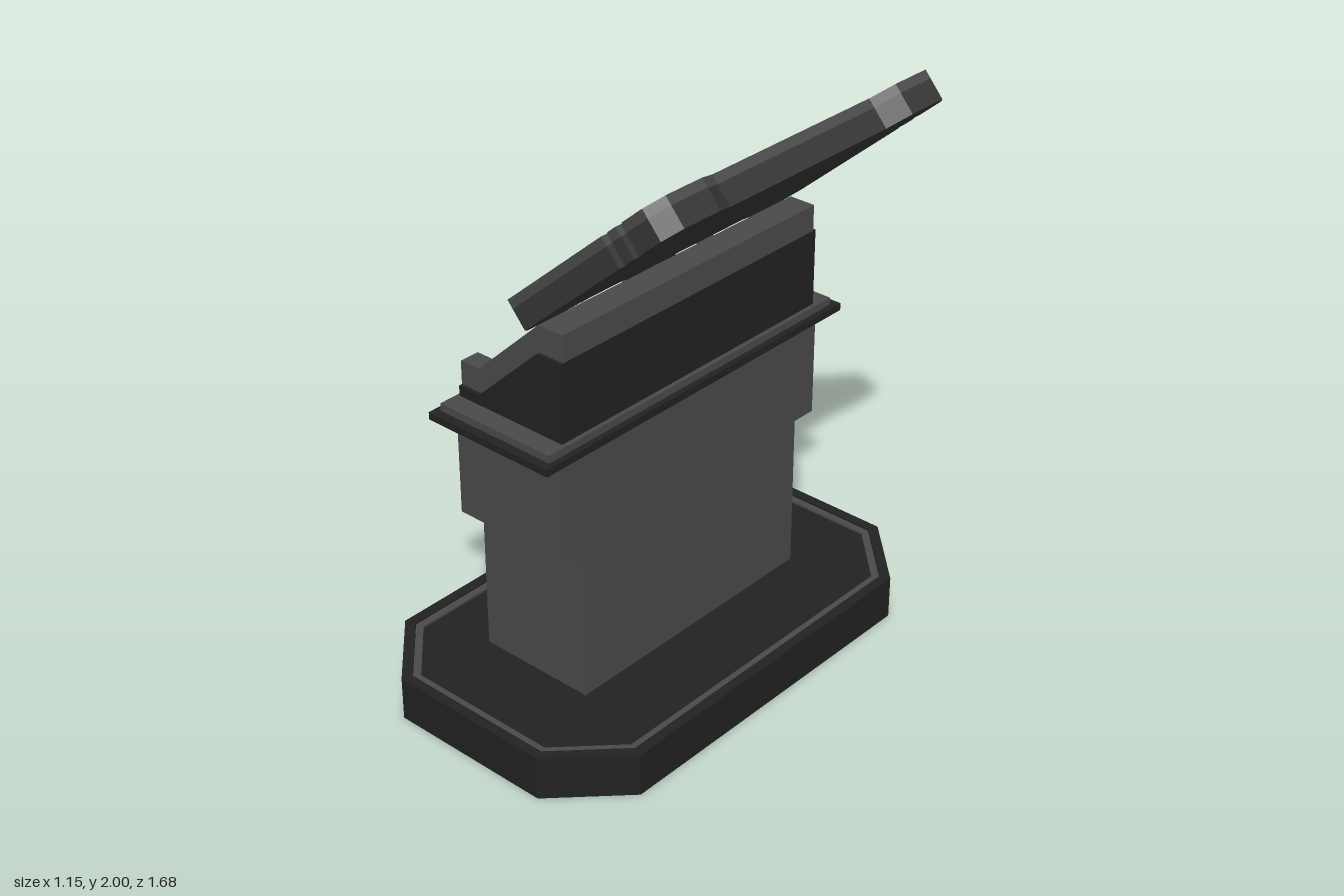
import * as THREE from 'three';

const mat = (color) => new THREE.MeshStandardMaterial({ color, flatShading: true });
const GREY = mat(0x4a4a4a), MID = mat(0x363636), DARK = mat(0x222222), BLACK = mat(0x161616);
const LIGHT = mat(0x8c8c8c), RED = mat(0x5c2024), ORANGE = mat(0xc87f3a), GLASS = mat(0x95bcbc);

function add(parent, name, geo, material, x = 0, y = 0, z = 0) {
  const m = new THREE.Mesh(geo, material);
  m.name = name;
  m.position.set(x, y, z);
  parent.add(m);
  return m;
}

// Box given by its limits on each axis
function box(parent, name, material, [x0, x1], [y0, y1], [z0, z1]) {
  return add(parent, name, new THREE.BoxGeometry(x1 - x0, y1 - y0, z1 - z0), material,
    (x0 + x1) / 2, (y0 + y1) / 2, (z0 + z1) / 2);
}

function extrude(points, depth, hole) {
  const shape = new THREE.Shape(points.map(([a, b]) => new THREE.Vector2(a, b)));
  if (hole) shape.holes.push(new THREE.Path(hole.map(([a, b]) => new THREE.Vector2(a, b))));
  return new THREE.ExtrudeGeometry(shape, { depth, bevelEnabled: false, curveSegments: 24 });
}

// Flat outline extruded upwards
const slab = (points, depth, hole) => extrude(points, depth, hole).rotateX(-Math.PI / 2);

// Half outline (a, b) completed by its mirror image in a
const mirrorA = (half) => [...half, ...half.map(([a, b]) => [-a, b]).reverse()];

// Octagonal foot outline, inset by d
function octagon(d) {
  const x0 = -0.58 + d, x1 = 0.45 - d, z = 0.84 - d, c = 0.22 - 0.586 * d;
  return [[x0 + c, -z], [x1 - c, -z], [x1, -z + c], [x1, z - c],
    [x1 - c, z], [x0 + c, z], [x0, z - c], [x0, -z + c]];
}

function buildBase(root) {
  const g = new THREE.Group();
  g.name = 'base';
  add(g, 'baseSlab', slab(octagon(0), 0.138), DARK);
  add(g, 'baseRim', slab(octagon(0), 0.014, octagon(0.035)), DARK, 0, 0.138);
  add(g, 'baseInlay', slab(octagon(0.035), 0.008, octagon(0.06)), GREY, 0, 0.138);
  root.add(g);
}

function buildColumn(root) {
  const g = new THREE.Group();
  g.name = 'column';
  const outline = mirrorA([[0.505, 0.1], [0.505, 0.68], [0.595, 0.68], [0.595, 1.04]]);
  const opening = mirrorA([[0.4, 0.138], [0.4, 0.74], [0.18, 1.0]]);
  // Solid rear and a front frame with the recessed opening
  add(g, 'columnRear', extrude(outline, 0.265).rotateY(-Math.PI / 2), GREY, 0.115);
  add(g, 'columnFront', extrude(outline, 0.16, opening).rotateY(-Math.PI / 2), GREY, -0.15);
  add(g, 'recessBack', extrude(opening, 0.005).rotateY(-Math.PI / 2), mat(0x606060), -0.15);
  for (const s of [-1, 1]) {
    const side = (a, b) => (s > 0 ? [a, b] : [-b, -a]);
    box(g, 'recessSide', LIGHT, [-0.3, -0.15], [0.14, 0.73], side(0.392, 0.4));
    box(g, 'recessRib', GREY, [-0.23, -0.15], [0.14, 1.0], side(0.04, 0.14));
    box(g, 'ribFoot', GREY, [-0.25, -0.15], [0.14, 0.22], side(0.03, 0.15));
  }
  box(g, 'recessSill', GREY, [-0.22, -0.15], [0.14, 0.19], [-0.39, 0.39]);
  root.add(g);
}

function buildConsole(root) {
  const g = new THREE.Group();
  g.name = 'console';
  box(g, 'shelfLower', DARK, [-0.34, 0.15], [1.035, 1.06], [-0.68, 0.68]);
  box(g, 'shelfUpper', GREY, [-0.32, 0.13], [1.06, 1.085], [-0.65, 0.65]);

  // Sloped housing
  const body = [[-0.31, 1.08], [0.115, 1.08], [0.115, 1.35], [0.02, 1.35], [-0.225, 1.12], [-0.31, 1.12]];
  add(g, 'housing', extrude(body, 1.16), DARK, 0, 0, -0.58);

  // Raised side rails joined by the top beam
  const rail = [[-0.31, 1.115], [-0.225, 1.115], [0.025, 1.345], [0.115, 1.345],
    [0.115, 1.44], [0.02, 1.44], [-0.235, 1.2], [-0.31, 1.2]];
  for (const z of [-0.568, 0.498]) add(g, 'sideRail', extrude(rail, 0.07), GREY, 0, 0, z);
  const beam = [[0.02, 1.345], [0.115, 1.345], [0.115, 1.44], [0.02, 1.44]];
  add(g, 'topBeam', extrude(beam, 1.0), GREY, 0, 0, -0.5);
  box(g, 'frontLip', MID, [-0.31, -0.245], [1.11, 1.13], [-0.5, 0.5]);

  // Control surface, local x runs up the slope
  const deck = new THREE.Group();
  deck.name = 'controls';
  deck.position.set(-0.225, 1.12, 0);
  deck.rotation.z = Math.atan2(0.23, 0.245);
  box(deck, 'blankPanel', BLACK, [-0.01, 0.33], [-0.01, 0.012], [-0.49, 0.08]);
  box(deck, 'buttonPanel', LIGHT, [-0.01, 0.33], [-0.01, 0.016], [0.1, 0.47]);
  for (let i = 0; i < 3; i++) {
    for (let j = 0; j < 3; j++) {
      const s = 0.003 + i * 0.097, z = 0.108 + j * 0.058;
      box(deck, 'key', RED, [s, s + 0.09], [0.01, 0.028], [z, z + 0.05]);
    }
  }
  add(deck, 'knobRing', new THREE.CylinderGeometry(0.058, 0.058, 0.02, 24), BLACK, 0.085, 0.02, 0.38);
  add(deck, 'knob', new THREE.CylinderGeometry(0.036, 0.042, 0.04, 24), ORANGE, 0.085, 0.03, 0.38);
  box(deck, 'squareButtonFrame', BLACK, [0.195, 0.295], [0.01, 0.026], [0.33, 0.43]);
  box(deck, 'squareButton', ORANGE, [0.207, 0.283], [0.01, 0.038], [0.342, 0.418]);
  g.add(deck);

  // Round socket with a notched ring on its end
  const socket = new THREE.Group();
  socket.name = 'socket';
  socket.position.set(-0.31, 1.2, -0.235);
  add(socket, 'socketBarrel', new THREE.CylinderGeometry(0.08, 0.08, 0.28, 32).rotateZ(Math.PI / 2), BLACK, 0.14);
  const circle = (r) => Array.from({ length: 32 }, (_, i) =>
    [r * Math.cos(i * Math.PI / 16), r * Math.sin(i * Math.PI / 16)]);
  add(socket, 'socketRing', extrude(circle(0.07), 0.033, circle(0.045)).rotateY(-Math.PI / 2), ORANGE);
  for (let i = 0; i < 8; i++) {
    const a = (i + 0.5) * Math.PI / 4;
    const slot = add(socket, 'ringSlot', new THREE.BoxGeometry(0.006, 0.02, 0.012), BLACK,
      -0.032, 0.058 * Math.sin(a), 0.058 * Math.cos(a));
    slot.rotation.x = -a;
  }
  g.add(socket);
  root.add(g);
}

// Screen outline: u along the slope, v across; d insets it
function screenOutline(d, slots) {
  const u = 0.392 - d, n = 0.348 - d, v = 0.62 - d, w = v - 0.05 + d * 0.4, c = u - 0.05 + d * 0.4;
  const cuts = slots ? [0.145, 0.215].flatMap((a) =>
    [[a, v], [a, v - 0.022], [a + 0.03, v - 0.022], [a + 0.03, v]]) : [];
  const half = [[-n, 0.345], [-u, 0.425], [-u, w], [-c, v], ...cuts, [c, v], [u, w], [u, 0.425], [n, 0.345]];
  return [...half, ...half.map(([a, b]) => [a, -b]).reverse()];
}

function buildScreen(root) {
  const g = new THREE.Group();
  g.name = 'screen';
  g.position.set(0.243, 1.705, 0);
  g.rotation.z = Math.atan2(0.515, 0.59);
  add(g, 'screenBack', slab(screenOutline(0, true), 0.07), MID, 0, -0.05);
  add(g, 'screenFrame', slab(screenOutline(0, true), 0.03, screenOutline(0.026)), GREY, 0, 0.02);
  add(g, 'screenInnerFrame', slab(screenOutline(0.026), 0.018, screenOutline(0.04)), DARK, 0, 0.02);
  add(g, 'glass', slab(screenOutline(0.04), 0.01), GLASS, 0, 0.02);
  root.add(g);
}

export function createModel() {
  const root = new THREE.Group();
  root.name = 'controlConsole';
  buildBase(root);
  buildColumn(root);
  buildConsole(root);
  buildScreen(root);
  return root;
}
